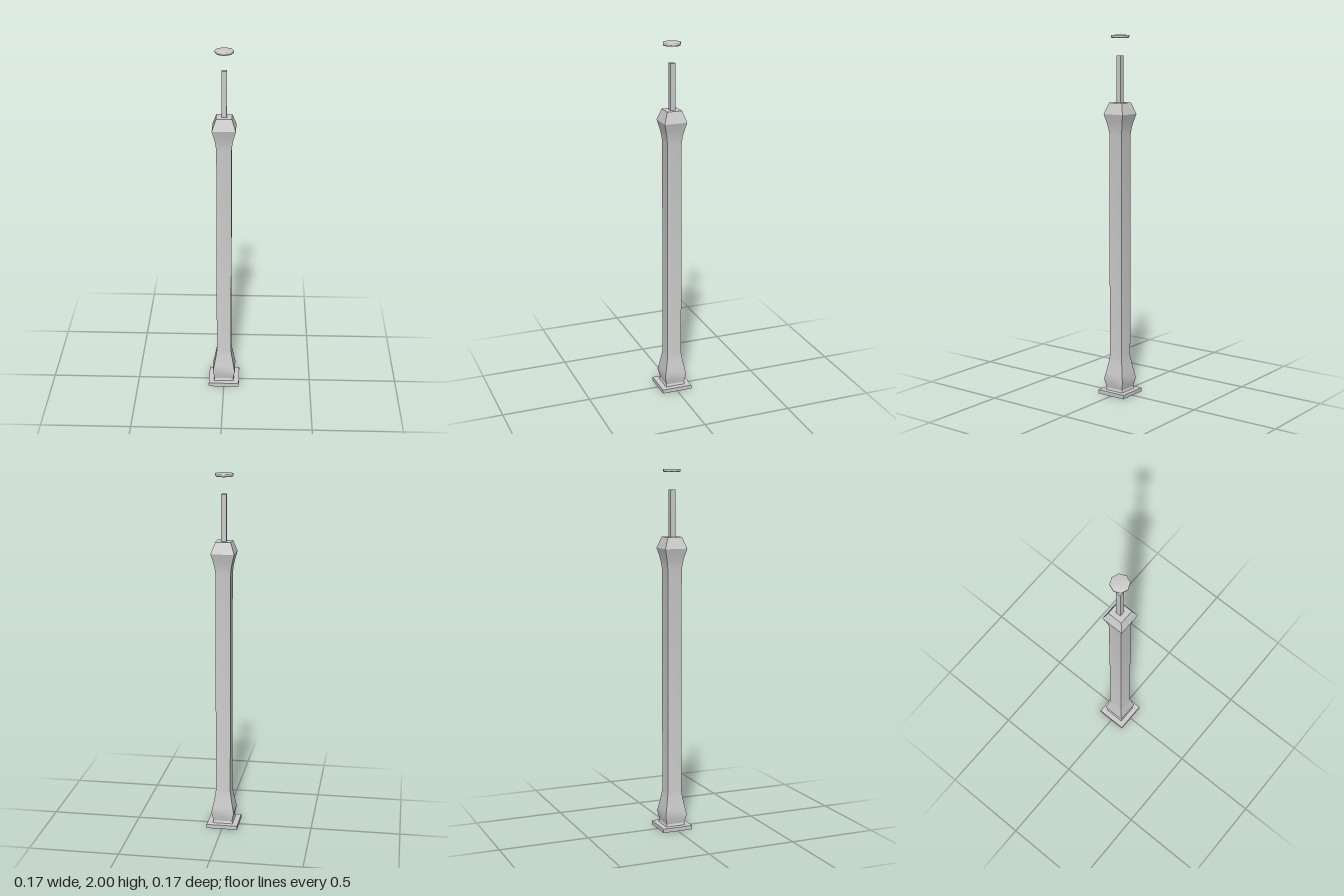
import * as THREE from 'three';
import { toCreasedNormals } from 'three/addons/utils/BufferGeometryUtils.js';

const material = new THREE.MeshStandardMaterial({ color: 0xcccccc });

function addPart(group, name, geometry, y = 0) {
  const mesh = new THREE.Mesh(geometry, material);
  mesh.name = name;
  mesh.position.y = y;
  group.add(mesh);
}

// Four-sided column from [half width, height] pairs, bottom to top
function squareColumn(profile) {
  const points = profile.map(([half, y]) => new THREE.Vector2(half * Math.SQRT2, y));
  return toCreasedNormals(new THREE.LatheGeometry(points, 4, Math.PI / 4), 0.5);
}

export function createModel() {
  const group = new THREE.Group();
  group.name = 'post';

  // Square foot plate
  addPart(group, 'basePlate', new THREE.BoxGeometry(0.174, 0.022, 0.174), 0.011);

  // Shaft with flared foot and flared, bevelled head
  addPart(group, 'shaft', squareColumn([
    [0, 0.02], [0.058, 0.02], [0.053, 0.035], [0.064, 0.085],
    [0.056, 0.125], [0.046, 0.18], [0.041, 0.215],
    [0.041, 1.46], [0.045, 1.495], [0.052, 1.53], [0.064, 1.575],
    [0.042, 1.637], [0, 1.637],
  ]));

  // Thin square rod standing on the head
  addPart(group, 'rod', new THREE.BoxGeometry(0.028, 0.26, 0.028), 1.76);

  // Softly shaded eight-sided disc floating above the rod
  const disc = [[0, 1.984], [0.047, 1.984], [0.05, 1.99], [0.05, 2], [0, 2]];
  addPart(group, 'topDisc', new THREE.LatheGeometry(
    disc.map(([r, y]) => new THREE.Vector2(r, y)), 8));

  return group;
}
